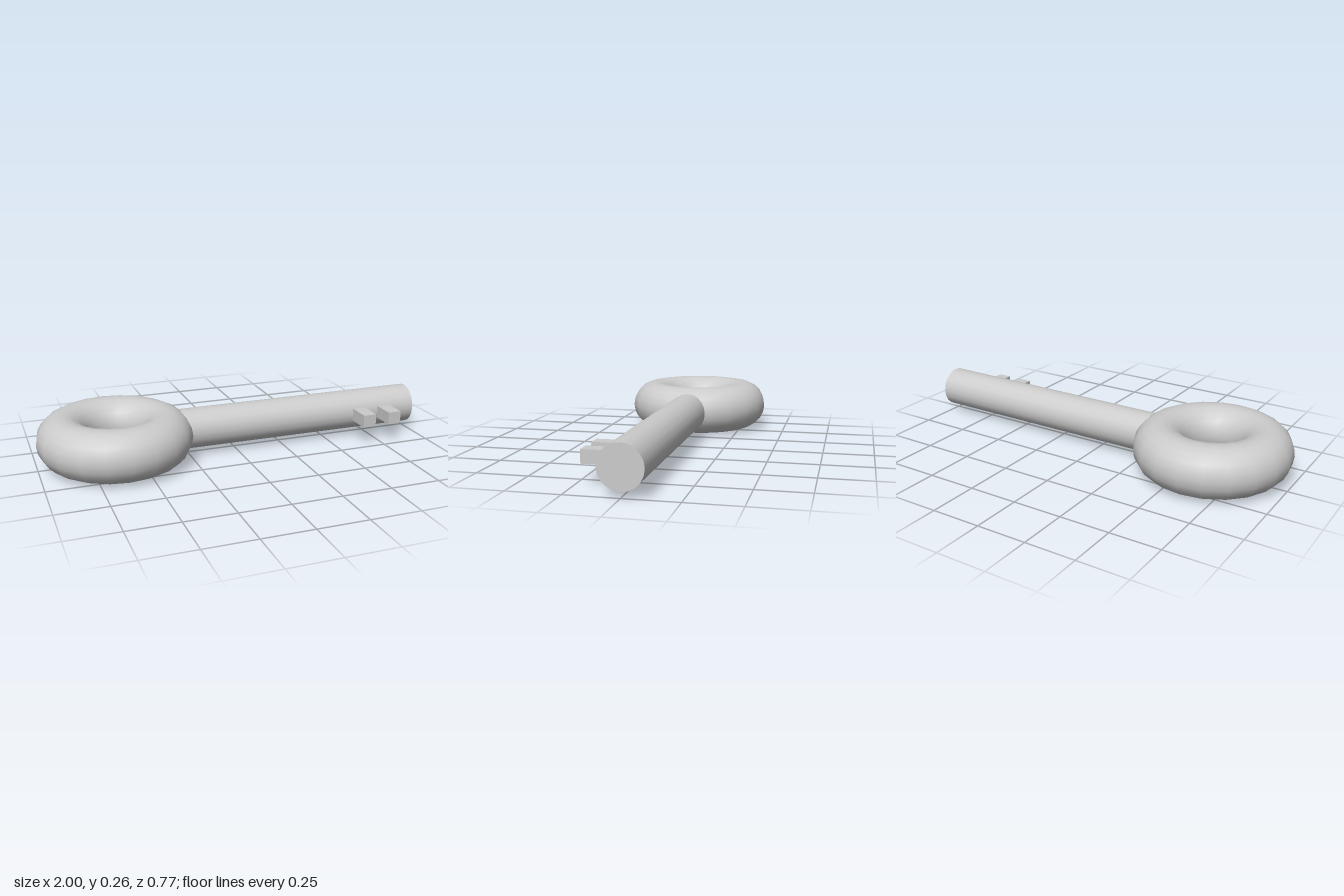
import * as THREE from 'three';

const AXIS_Y = 0.128; // height of the key's centre line

export function createModel() {
  const key = new THREE.Group();
  key.name = 'key';
  const material = new THREE.MeshStandardMaterial({ color: 0xcccccc });

  const addPart = (name, geometry, x, z = 0) => {
    const mesh = new THREE.Mesh(geometry, material);
    mesh.name = name;
    mesh.position.set(x, AXIS_Y, z);
    key.add(mesh);
  };

  // Ring handle, lying flat
  addPart('ringHandle', new THREE.TorusGeometry(0.255, 0.128, 20, 20).rotateX(Math.PI / 2), -0.617);

  // Round shaft, its inner end buried in the ring
  const start = -0.36, end = 1;
  const shaft = new THREE.CylinderGeometry(0.102, 0.102, end - start, 20).rotateZ(-Math.PI / 2);
  addPart('shaft', shaft, (start + end) / 2);

  // Two teeth whose outer faces curve around the shaft axis
  const inner = 0.08, reach = 0.219;
  [0.675, 0.82].forEach((x, i) => {
    const tooth = new THREE.BoxGeometry(0.07, 0.064, reach - inner, 1, 4, 1);
    tooth.translate(0, 0, (reach + inner) / 2);
    const p = tooth.attributes.position;
    for (let v = 0; v < p.count; v++) {
      if (p.getZ(v) > 0.15) p.setZ(v, Math.sqrt(reach ** 2 - p.getY(v) ** 2));
    }
    addPart(`tooth${i + 1}`, tooth, x);
  });

  return key;
}
